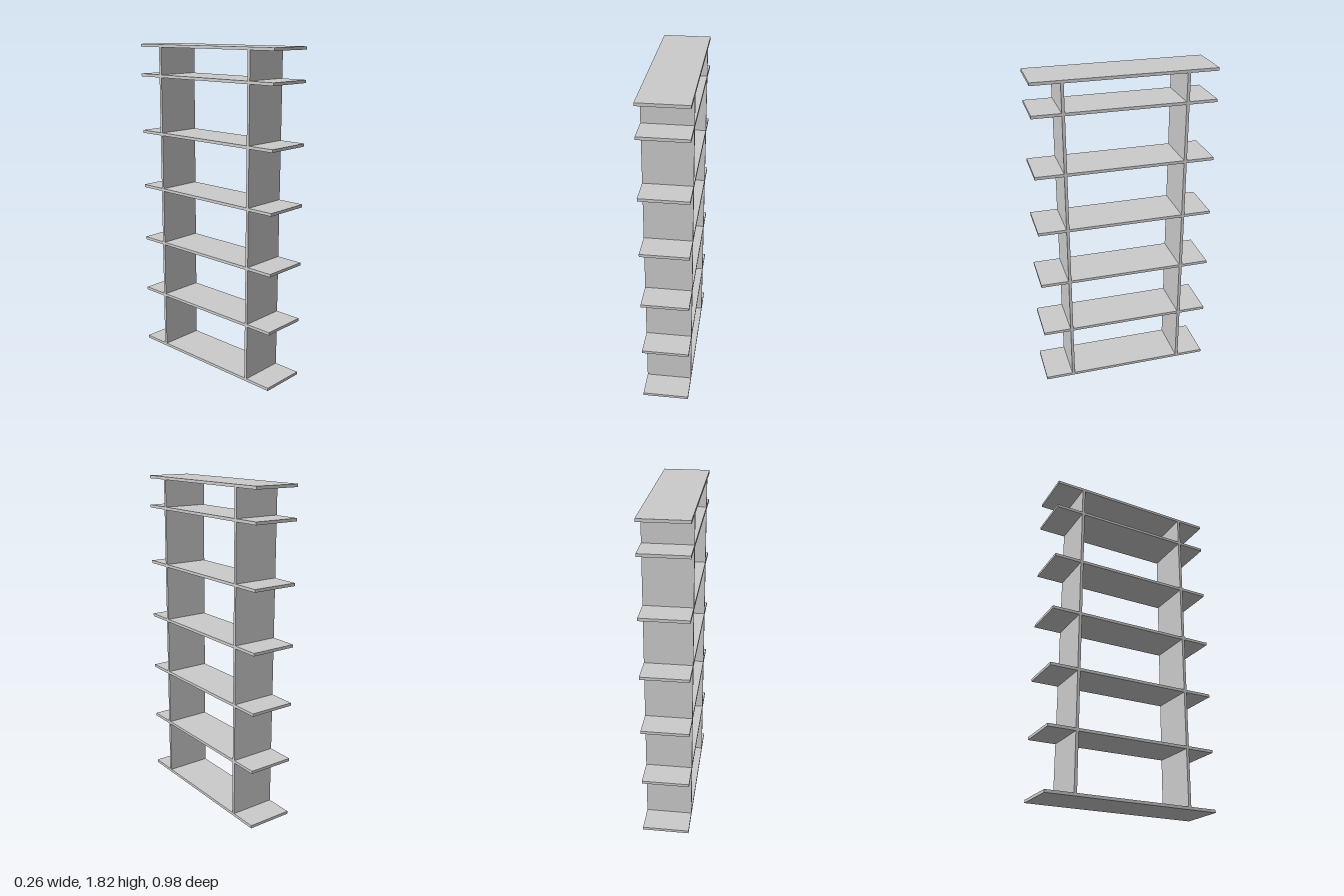
import * as THREE from 'three';

const DEPTH = 0.26;      // along x
const LENGTH = 0.98;     // along z
const T = 0.016;         // board thickness
const PANEL_Z = 0.328;   // centre of each upright
const BOTTOM = 0.179;    // underside of lowest shelf
const STEP = 0.3277;     // shelf spacing

export function createModel() {
  const group = new THREE.Group();
  group.name = 'shelvingUnit';
  const material = new THREE.MeshStandardMaterial({ color: 0xcccccc });

  const board = (name, height, length, y, z) => {
    const mesh = new THREE.Mesh(new THREE.BoxGeometry(DEPTH, height, length), material);
    mesh.name = name;
    mesh.position.set(0, y, z);
    group.add(mesh);
  };

  // Top board lies across both uprights
  board('topBoard', T, LENGTH, 2 - T / 2, 0);

  // Uprights run unbroken from the lowest shelf to the top board
  const panelHeight = 2 - T - BOTTOM;
  for (const [name, s] of [['front', 1], ['back', -1]]) {
    board(name + 'Upright', panelHeight, T, BOTTOM + panelHeight / 2, s * PANEL_Z);
  }

  // Shelves: a middle span between the uprights and an overhang outside each
  const inner = PANEL_Z - T / 2;
  const outer = PANEL_Z + T / 2;
  const wing = LENGTH / 2 - outer;
  for (let i = 0; i < 6; i++) {
    const y = BOTTOM + T / 2 + i * STEP;
    board('shelf' + (i + 1), T, 2 * inner, y, 0);
    board('frontOverhang' + (i + 1), T, wing, y, outer + wing / 2);
    board('backOverhang' + (i + 1), T, wing, y, -outer - wing / 2);
  }

  return group;
}
